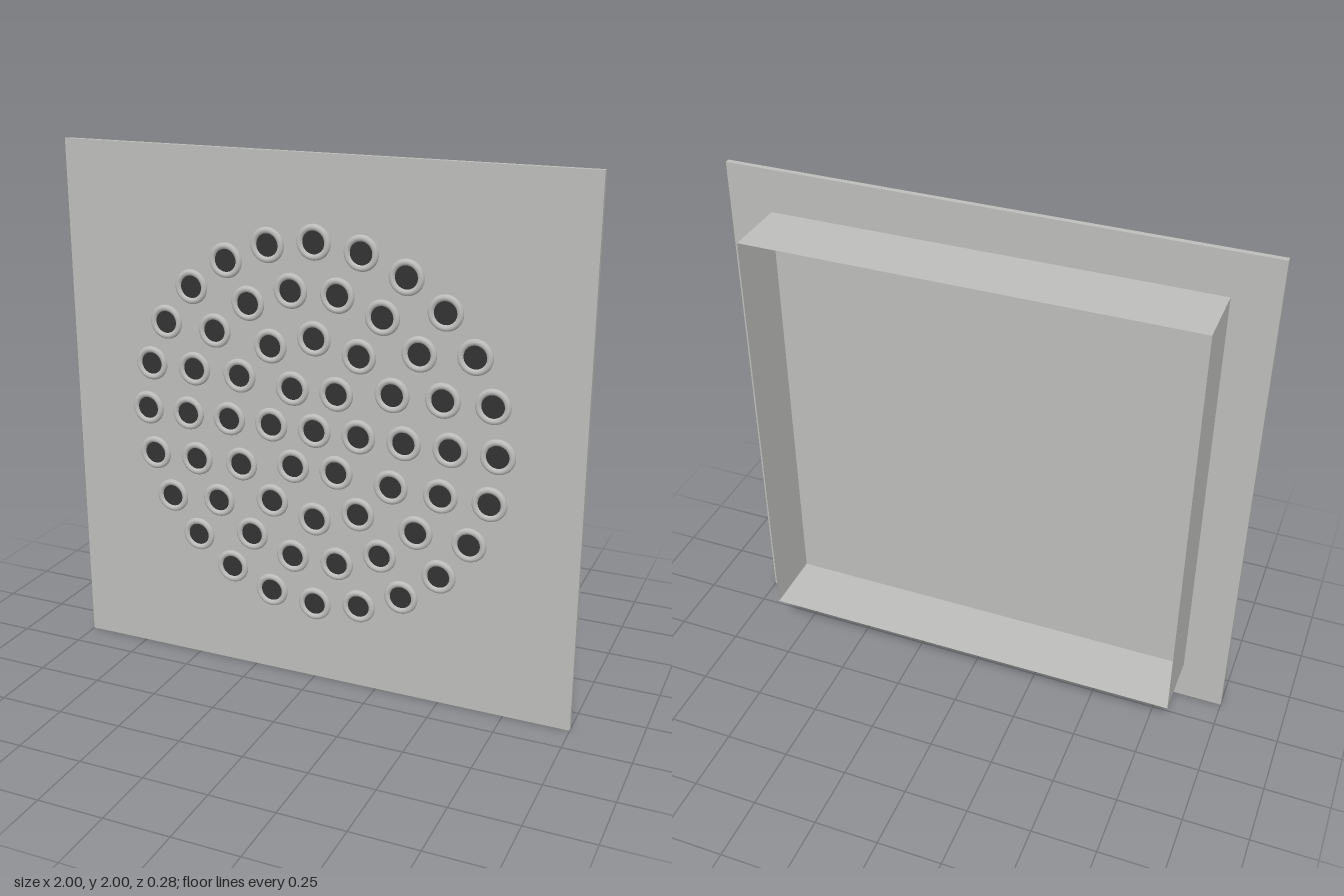
import * as THREE from 'three';

export function createModel() {
  const model = new THREE.Group();
  model.name = 'showerPanel';
  const metal = new THREE.MeshStandardMaterial({ color: 0xbcbcba });
  metal.name = 'brushed metal';
  const sheet = new THREE.MeshStandardMaterial({ color: 0xbcbcba, side: THREE.DoubleSide });
  sheet.name = 'thin sheet metal';
  const dark = new THREE.MeshStandardMaterial({ color: 0x333333 });
  dark.name = 'dark rubber';

  const add = (parent, name, geometry, material, x, y, z) => {
    const mesh = new THREE.Mesh(geometry, material);
    mesh.name = name;
    mesh.position.set(x, y, z);
    parent.add(mesh);
    return mesh;
  };

  // Square face plate
  const plateFront = 0.13;
  add(model, 'facePlate', new THREE.BoxGeometry(2, 2, 0.02), metal, 0, 1, plateFront - 0.01);

  // Open housing behind the plate: four thin walls
  const half = 0.834, back = -0.142, depth = plateFront - 0.02 - back;
  const housing = new THREE.Group();
  housing.name = 'rearHousing';
  housing.position.set(0, 1, back + depth / 2);
  model.add(housing);
  const wallGeometry = new THREE.PlaneGeometry(half * 2, depth).rotateX(-Math.PI / 2).translate(0, half, 0);
  ['topWall', 'rightWall', 'bottomWall', 'leftWall'].forEach((name, i) => {
    add(housing, name, wallGeometry, sheet, 0, 0, 0).rotation.z = i * Math.PI / 2;
  });

  // Nozzles: half-sunk rim with a dark centre, in concentric rings of six more each
  const rimGeometry = new THREE.TorusGeometry(0.053, 0.012, 12, 32);
  const centreGeometry = new THREE.CircleGeometry(0.043, 32);
  const spacing = 0.173;
  for (let ring = 0; ring <= 4; ring++) {
    const count = Math.max(1, ring * 6);
    for (let i = 0; i < count; i++) {
      const angle = (i / count) * Math.PI * 2;
      const nozzle = new THREE.Group();
      nozzle.name = 'nozzle';
      nozzle.position.set(Math.cos(angle) * ring * spacing, 1 + Math.sin(angle) * ring * spacing, plateFront);
      add(nozzle, 'nozzleRim', rimGeometry, metal, 0, 0, 0);
      add(nozzle, 'nozzleCentre', centreGeometry, dark, 0, 0, 0.003);
      model.add(nozzle);
    }
  }
  return model;
}
